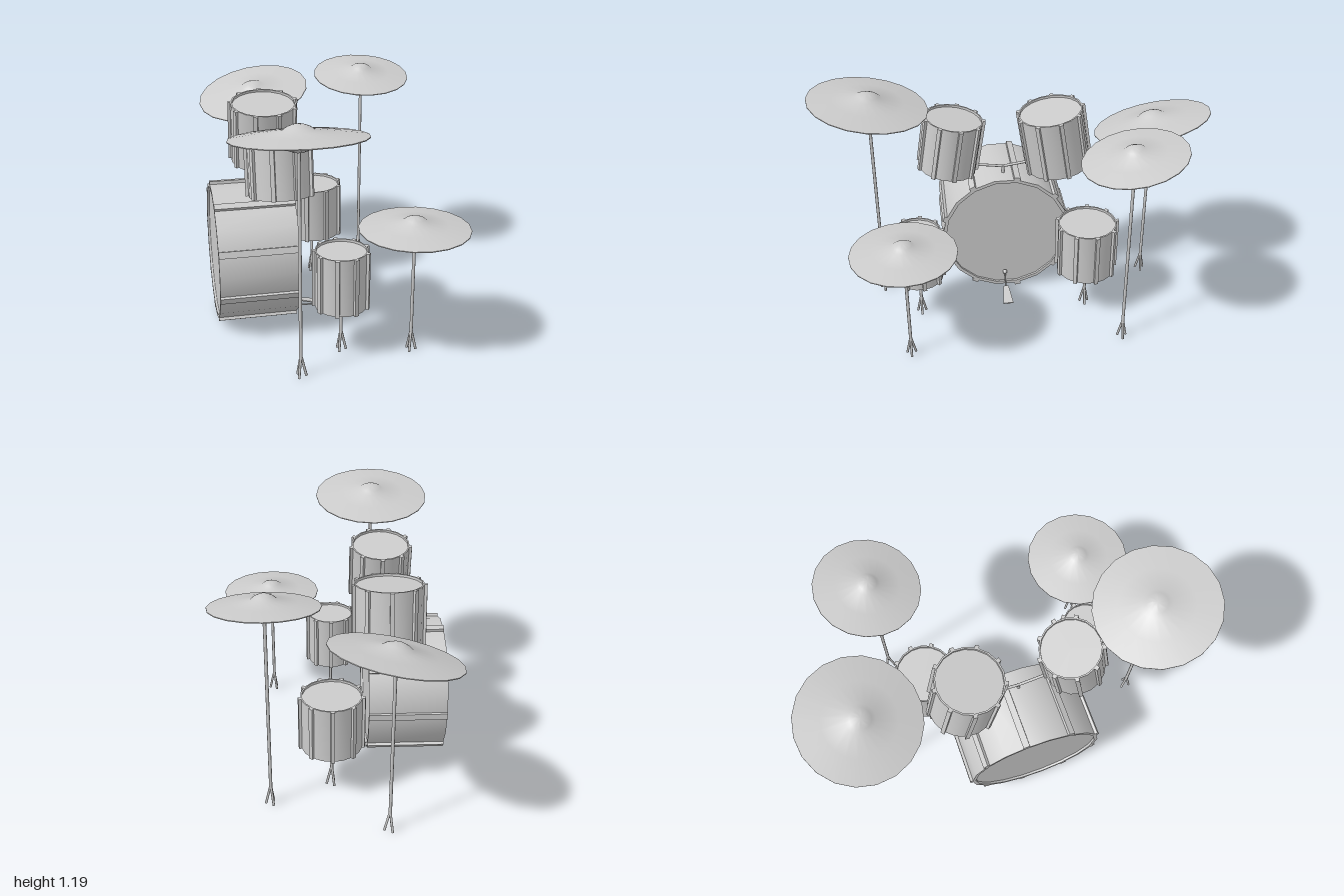
import * as THREE from 'three';
import { toCreasedNormals } from 'three/addons/utils/BufferGeometryUtils.js';

const grey = new THREE.MeshStandardMaterial({ color: 0xcccccc });
const V = (x, y, z) => new THREE.Vector3(x, y, z);

function mesh(name, geometry, parent) {
  const m = new THREE.Mesh(geometry, grey);
  m.name = name;
  parent.add(m);
  return m;
}

// Closed solid of revolution with crisp corners
function turned(points, sides) {
  const profile = points.map(([r, y]) => new THREE.Vector2(r, y));
  return toCreasedNormals(new THREE.LatheGeometry(profile, sides), 0.6);
}

// Round bar between two points
function bar(name, a, b, radius, parent) {
  const d = b.clone().sub(a);
  const m = mesh(name, new THREE.CylinderGeometry(radius, radius, d.length(), 8), parent);
  m.position.copy(a).add(b).multiplyScalar(0.5);
  m.quaternion.setFromUnitVectors(V(0, 1, 0), d.normalize());
}

// Drum: shell with recessed heads and nine tension strips, axis along y
function drum(name, r, height, stripWidth, parent) {
  const g = new THREE.Group();
  g.name = name;
  parent.add(g);
  const h = height / 2, rim = r * 0.05, recess = 0.012;
  mesh('shell', turned([
    [0, -h + recess], [r - rim, -h + recess], [r - rim, -h], [r, -h],
    [r, h], [r - rim, h], [r - rim, h - recess], [0, h - recess],
  ], 18), g);
  for (let i = 0; i < 9; i++) {
    const a = (20 + 40 * i) * Math.PI / 180;
    const strip = mesh('tensionStrip', new THREE.BoxGeometry(stripWidth, height, 0.016), g);
    strip.position.set(Math.sin(a) * (r + 0.004), 0, Math.cos(a) * (r + 0.004));
    strip.rotation.y = a;
  }
  return g;
}

// Upright rod on three short splayed legs
function stand(x, z, top, parent) {
  const g = new THREE.Group();
  g.name = 'stand';
  g.position.set(x, 0, z);
  parent.add(g);
  bar('rod', V(0, 0.09, 0), V(0, top, 0), 0.008, g);
  for (let i = 0; i < 3; i++) {
    const a = i * Math.PI * 2 / 3 + Math.PI / 2;
    bar('leg', V(0, 0.11, 0), V(Math.sin(a) * 0.025, 0.002, Math.cos(a) * 0.025), 0.006, g);
  }
}

// Cymbal: shallow cone with a bell, mirrored underneath, on its stand
function cymbal(name, x, y, z, r, tiltX, tiltZ, parent) {
  const g = new THREE.Group();
  g.name = name;
  parent.add(g);
  const k = r / 0.25;
  const half = [[0, 0.06], [0.02 * k, 0.058], [0.042 * k, 0.048], [0.06 * k, 0.034], [0.15 * k, 0.02], [r, 0.002]];
  const points = [...half.map(([a, b]) => [a, -b]), ...half.slice().reverse()];
  const disc = mesh('disc', turned(points, 20), g);
  disc.position.set(x, y, z);
  disc.rotation.set(tiltX, 0, tiltZ);
  stand(x, z, y, g);
}

export function createModel() {
  const model = new THREE.Group();
  model.name = 'drumKit';

  // Bass drum lying along x
  const bass = drum('bassDrum', 0.336, 0.385, 0.032, model);
  bass.position.set(-0.372, 0.352, 0.05);
  bass.rotation.z = -Math.PI / 2;

  // Tilted toms above the bass drum
  const rearTom = drum('rearTom', 0.165, 0.31, 0.02, model);
  rearTom.position.set(-0.267, 0.872, -0.21);
  rearTom.rotation.x = 0.155;
  const frontTom = drum('frontTom', 0.148, 0.28, 0.02, model);
  frontTom.position.set(-0.267, 0.877, 0.32);
  frontTom.rotation.x = -0.162;

  // Tom mount
  const mount = new THREE.Group();
  mount.name = 'tomMount';
  model.add(mount);
  bar('post', V(-0.267, 0.67, 0.055), V(-0.267, 0.725, 0.055), 0.008, mount);
  bar('arm', V(-0.267, 0.72, 0.055), V(-0.267, 0.74, 0.2), 0.007, mount);
  bar('arm', V(-0.267, 0.72, 0.055), V(-0.267, 0.74, -0.08), 0.007, mount);

  // Upright drums on stands
  for (const [name, x, z, r] of [['rearFloorDrum', 0.005, -0.345, 0.15], ['frontFloorDrum', -0.02, 0.52, 0.123]]) {
    drum(name, r, 0.28, 0.02, model).position.set(x, 0.38, z);
    stand(x, z, 0.26, model);
  }

  // Cymbals
  cymbal('frontLargeCymbal', -0.245, 1.128, 0.712, 0.295, -0.165, 0, model);
  cymbal('rearLargeCymbal', -0.252, 0.935, -0.71, 0.3, 0.215, 0.19, model);
  cymbal('rearSmallCymbal', 0.303, 1.063, -0.49, 0.25, 0.195, 0, model);
  cymbal('hiHat', 0.303, 0.624, 0.585, 0.255, 0, 0, model);

  // Foot pedal with beater
  const pedal = new THREE.Group();
  pedal.name = 'pedal';
  pedal.position.z = 0.06;
  model.add(pedal);
  mesh('beater', new THREE.SphereGeometry(0.012, 12, 8), pedal).position.set(-0.175, 0.105, 0);
  bar('beaterRod', V(-0.175, 0.105, 0), V(-0.135, 0.008, 0), 0.004, pedal);
  bar('baseRod', V(-0.135, 0.007, 0), V(-0.02, 0.007, 0), 0.004, pedal);
  const outline = new THREE.Shape([[-0.06, -0.014], [0.06, -0.027], [0.06, 0.027], [-0.06, 0.014]]
    .map(([x, y]) => new THREE.Vector2(x, y)));
  const plate = mesh('footPlate', new THREE.ExtrudeGeometry(outline, { depth: 0.006, bevelEnabled: false })
    .rotateX(-Math.PI / 2), pedal);
  plate.position.set(-0.073, 0.024, 0);
  plate.rotation.z = -0.2;

  return model;
}
